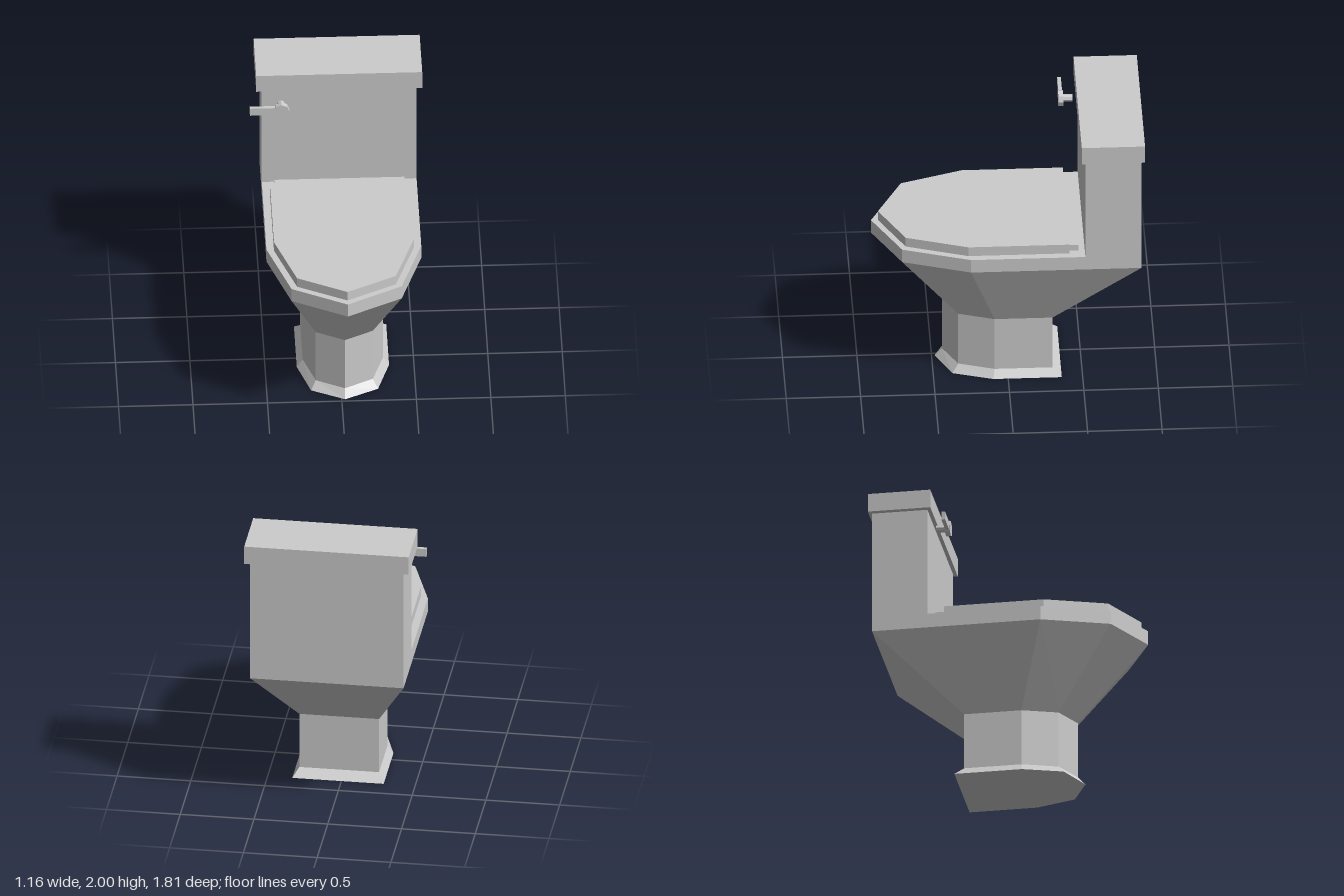
import * as THREE from 'three';

const material = new THREE.MeshStandardMaterial({ color: 0xcccccc, flatShading: true });
const CX = 0.023; // the bowl and tank sit slightly off centre, balancing the lever

// Seven-sided outline with a square back and a pointed front
function outline(y, w, zBack, zSide, wFront, zFront, zTip) {
  return [
    [w, zBack], [w, zSide], [wFront, zFront], [0, zTip],
    [-wFront, zFront], [-w, zSide], [-w, zBack],
  ].map(([x, z]) => [x + CX, y, z]);
}

// Joins a stack of outlines from bottom to top and closes both ends
function loft(rings) {
  const pos = [];
  const tri = (a, b, c) => pos.push(...a, ...b, ...c);
  const n = rings[0].length;
  for (let r = 0; r < rings.length - 1; r++) {
    const lo = rings[r], hi = rings[r + 1];
    for (let i = 0; i < n; i++) {
      const j = (i + 1) % n;
      tri(lo[i], hi[i], hi[j]);
      tri(lo[i], hi[j], lo[j]);
    }
  }
  const bottom = rings[0], top = rings[rings.length - 1];
  for (let i = 1; i < n - 1; i++) {
    tri(bottom[0], bottom[i], bottom[i + 1]);
    tri(top[0], top[i + 1], top[i]);
  }
  const geo = new THREE.BufferGeometry();
  geo.setAttribute('position', new THREE.Float32BufferAttribute(pos, 3));
  geo.computeVertexNormals();
  return geo;
}

// Box given by its limits on each axis
function box([x0, x1], [y0, y1], [z0, z1]) {
  return new THREE.BoxGeometry(x1 - x0, y1 - y0, z1 - z0)
    .translate((x0 + x1) / 2, (y0 + y1) / 2, (z0 + z1) / 2);
}

// Eight-sided cylinder lying along z
function rod(radius, x, y, z0, z1) {
  return new THREE.CylinderGeometry(radius, radius, z1 - z0, 8)
    .rotateX(Math.PI / 2).translate(x, y, (z0 + z1) / 2);
}

export function createModel() {
  const model = new THREE.Group();
  model.name = 'toilet';
  const add = (parent, name, geometry) => {
    const mesh = new THREE.Mesh(geometry, material);
    mesh.name = name;
    parent.add(mesh);
  };

  // Flared foot, straight pedestal, widening bowl and upright rim
  add(model, 'bowl', loft([
    outline(0, 0.31, -0.36, 0.1, 0.225, 0.37, 0.48),
    outline(0.055, 0.27, -0.3, 0.09, 0.192, 0.33, 0.43),
    outline(0.455, 0.27, -0.3, 0.09, 0.192, 0.33, 0.43),
    outline(1.0, 0.52, -0.885, 0.26, 0.37, 0.715, 0.907),
    outline(1.1, 0.52, -0.885, 0.26, 0.37, 0.715, 0.907),
  ]));

  // Closed seat cover and its hinge bar
  add(model, 'seatCover', loft([1.1, 1.17].map(
    (y) => outline(y, 0.47, -0.405, 0.275, 0.332, 0.69, 0.86))));
  add(model, 'hinge', box([-0.415, 0.46], [1.1, 1.145], [-0.467, -0.405]));

  // Water tank with overhanging lid
  add(model, 'tank', box([CX - 0.52, CX + 0.52], [1.1, 1.87], [-0.885, -0.508]));
  add(model, 'tankLid', box([-0.535, 0.58], [1.87, 2], [-0.907, -0.482]));

  // Flush handle: shaft, knob and lever
  const handle = new THREE.Group();
  handle.name = 'flushHandle';
  add(handle, 'shaft', rod(0.026, -0.37, 1.78, -0.467, -0.4));
  add(handle, 'knob', rod(0.055, -0.37, 1.78, -0.403, -0.37));
  add(handle, 'lever', box([-0.582, -0.4], [1.751, 1.809], [-0.399, -0.374]));
  model.add(handle);

  return model;
}
